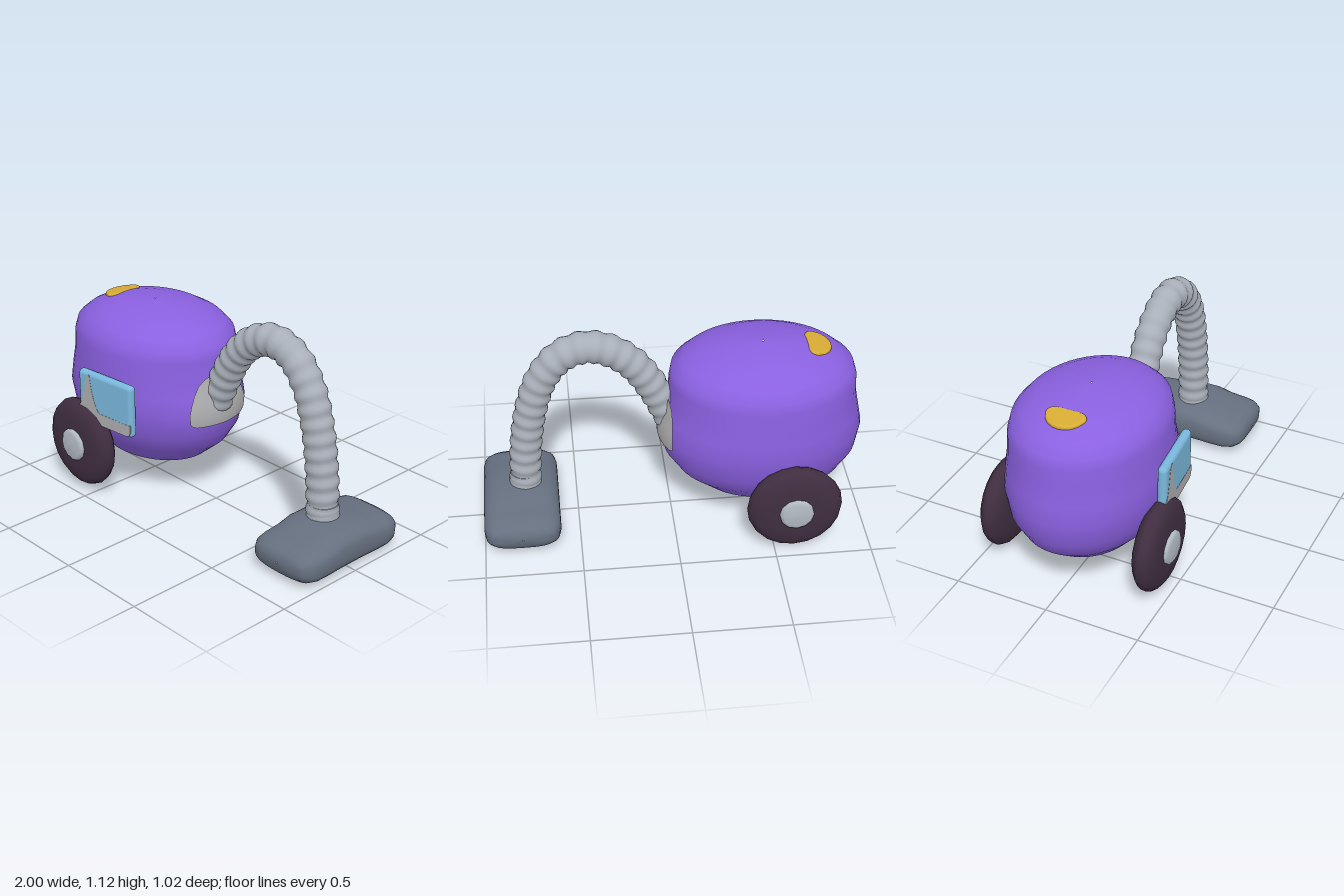
import * as THREE from 'three';
import { RoundedBoxGeometry } from 'three/addons/geometries/RoundedBoxGeometry.js';

const mat = (name, color, extra = {}) => {
  const m = new THREE.MeshStandardMaterial({ color, ...extra });
  m.name = name;
  return m;
};

// Skin a stack of closed rings, each an array of [x, y, z]
function loft(rings) {
  const n = rings[0].length, index = [];
  for (let i = 0; i < rings.length - 1; i++) {
    for (let j = 0; j < n; j++) {
      const a = i * n + j, b = i * n + (j + 1) % n;
      index.push(a, a + n, b, b, a + n, b + n);
    }
  }
  const g = new THREE.BufferGeometry();
  g.setAttribute('position', new THREE.Float32BufferAttribute(rings.flat(2), 3));
  g.setIndex(index);
  g.computeVertexNormals();
  return g;
}

const ring = (n, f) => Array.from({ length: n }, (_, j) => f(j / n * Math.PI * 2));

// Body sections: y, back x, front x, half depth
const BODY = [
  [0.12, -0.45, -0.44, 0.005], [0.13, -0.58, -0.31, 0.12], [0.2, -0.8, -0.15, 0.25],
  [0.3, -0.92, -0.03, 0.335], [0.4, -0.98, 0.035, 0.385], [0.53, -1, 0.066, 0.41],
  [0.63, -0.98, 0.04, 0.403], [0.72, -0.962, 0.015, 0.391], [0.82, -0.958, 0.008, 0.386],
  [0.88, -0.94, -0.002, 0.371], [0.93, -0.88, -0.06, 0.328], [0.97, -0.8, -0.15, 0.258],
  [1.0, -0.68, -0.28, 0.15], [1.015, -0.53, -0.42, 0.04], [1.017, -0.475, -0.465, 0.004],
];

function bodySection(y) {
  let i = 0;
  while (i < BODY.length - 2 && BODY[i + 1][0] < y) i++;
  const k = (y - BODY[i][0]) / (BODY[i + 1][0] - BODY[i][0]);
  return BODY[i].map((v, c) => v + (BODY[i + 1][c] - v) * k);
}

function bodyGeometry() {
  return loft(BODY.map(([y, x0, x1, h]) => ring(48, t =>
    [(x0 + x1) / 2 + (x1 - x0) / 2 * Math.cos(t), y, h * Math.sin(t)])));
}

// Socket plate hugging the front of the body: y and half width
function socketGeometry() {
  const rows = [[0.48, 0.16], [0.495, 0.188], [0.55, 0.195], [0.6, 0.18],
    [0.65, 0.16], [0.7, 0.13], [0.73, 0.095], [0.745, 0.05]];
  const g = new THREE.PlaneGeometry(1, 1, 16, rows.length - 1);
  const p = g.attributes.position;
  for (let r = 0; r < rows.length; r++) {
    for (let c = 0; c <= 16; c++) {
      const [y, w] = rows[rows.length - 1 - r];
      const [, x0, x1, h] = bodySection(y);
      const z = w * (1 - c / 8);
      const x = (x0 + x1) / 2 + (x1 - x0) / 2 * Math.sqrt(1 - (z / h) ** 2);
      p.setXYZ(r * 17 + c, x + 0.014, y, z);
    }
  }
  g.computeVertexNormals();
  return g;
}

// Ribbed hose swept along an arch
function hoseGeometry() {
  const curve = new THREE.CatmullRomCurve3([
    [0, 0.58], [0.045, 0.68], [0.11, 0.81], [0.2, 0.935], [0.31, 1.015], [0.425, 1.043],
    [0.55, 1.0], [0.65, 0.88], [0.715, 0.7], [0.755, 0.47], [0.772, 0.2],
  ].map(([x, y]) => new THREE.Vector3(x, y, 0)));
  const steps = 120, rings = [];
  for (let i = 0; i <= steps; i++) {
    const u = i / steps, p = curve.getPointAt(u), t = curve.getTangentAt(u);
    const r = 0.081 + 0.005 * Math.sin(u * Math.PI * 2 * 22);
    rings.push(ring(20, a => [p.x - t.y * r * Math.cos(a), p.y + t.x * r * Math.cos(a), -r * Math.sin(a)]));
  }
  return loft(rings);
}

// Floor head: soft cross-sections along z (z, half width, bottom, top)
function floorHeadGeometry() {
  const sections = [
    [0.352, 0.005, 0.1, 0.105], [0.35, 0.12, 0.07, 0.135], [0.335, 0.165, 0.04, 0.162],
    [0.3, 0.19, 0.015, 0.184], [0.25, 0.2, 0.003, 0.192], [0.16, 0.2, 0, 0.203], [0.08, 0.2, 0, 0.226],
  ];
  const all = [...sections, ...sections.slice().reverse().map(([z, ...s]) => [-z, ...s])];
  const soft = v => Math.sign(v) * Math.abs(v) ** 0.68;
  return loft(all.map(([z, w, lo, hi]) => ring(32, t =>
    [0.8 + w * soft(Math.cos(t)), (lo + hi) / 2 + (hi - lo) / 2 * soft(Math.sin(t)), z])));
}

// Turned parts with their axis along z
function turned(points, sides) {
  return new THREE.LatheGeometry(points.map(p => new THREE.Vector2(...p)), sides).rotateX(Math.PI / 2);
}

export function createModel() {
  const model = new THREE.Group();
  model.name = 'vacuumCleaner';
  const purple = mat('purple', 0x8a60e0);
  const grey = mat('hose grey', 0xa9afb9);
  const trim = mat('trim grey', 0xaeaeb0, { side: THREE.DoubleSide });
  const slate = mat('slate', 0x667080);
  const dark = mat('tyre dark', 0x402e40);
  const silver = mat('hub silver', 0xb2bac2);
  const blue = mat('window blue', 0x7ab8dc);
  const yellow = mat('button yellow', 0xd8ac34);

  const add = (name, geometry, material, parent = model) => {
    const m = new THREE.Mesh(geometry, material);
    m.name = name;
    parent.add(m);
    return m;
  };

  add('body', bodyGeometry(), purple);
  add('hoseSocket', socketGeometry(), trim);
  add('hose', hoseGeometry(), grey);
  add('hoseCollar', new THREE.CylinderGeometry(0.078, 0.086, 0.08, 20), grey).position.set(0.772, 0.25, 0);
  add('floorHead', floorHeadGeometry(), slate);

  // Wheels with hubs on both sides
  const tyre = turned([[0.001, -0.07], [0.13, -0.068], [0.2, -0.052], [0.235, -0.025], [0.246, 0],
    [0.235, 0.03], [0.2, 0.055], [0.13, 0.066], [0.001, 0.066]], 20);
  const hub = turned([[0.09, 0.05], [0.088, 0.078], [0.07, 0.089], [0.001, 0.092]], 12);
  for (const side of [1, -1]) {
    const wheel = new THREE.Group();
    wheel.name = side > 0 ? 'frontWheel' : 'backWheel';
    wheel.position.set(-0.595, 0.272, 0.42 * side);
    if (side < 0) wheel.rotation.y = Math.PI;
    add('tyre', tyre, dark, wheel);
    add('hub', hub, silver, wheel);
    model.add(wheel);
  }

  // Window plate on the front side with a painted grey trim
  const window = new THREE.Group();
  window.name = 'window';
  window.position.set(-0.393, 0.565, 0.407);
  window.rotation.y = 0.09;
  add('pane', new RoundedBoxGeometry(0.385, 0.29, 0.05, 4, 0.024), blue, window);
  const s = new THREE.Shape();
  s.moveTo(-0.15, -0.138);
  s.lineTo(0.15, -0.138);
  s.quadraticCurveTo(0.185, -0.138, 0.186, -0.1);
  s.lineTo(0.186, -0.072);
  s.lineTo(-0.04, -0.07);
  s.quadraticCurveTo(-0.085, -0.03, -0.105, 0.13);
  s.quadraticCurveTo(-0.13, 0.13, -0.14, 0.08);
  s.quadraticCurveTo(-0.155, -0.01, -0.186, -0.06);
  s.lineTo(-0.186, -0.1);
  s.quadraticCurveTo(-0.185, -0.138, -0.15, -0.138);
  add('windowTrim', new THREE.ExtrudeGeometry(s, { depth: 0.008, bevelEnabled: false }), trim, window)
    .position.z = 0.018;
  model.add(window);

  // Half-round button on top, following the slope of the lid
  const d = new THREE.Shape();
  d.moveTo(0.05, -0.05);
  d.quadraticCurveTo(0.05, -0.095, 0.015, -0.092);
  d.bezierCurveTo(-0.08, -0.07, -0.08, 0.07, 0.015, 0.092);
  d.quadraticCurveTo(0.05, 0.095, 0.05, 0.05);
  const button = add('button', new THREE.ExtrudeGeometry(d, {
    depth: 0.04, bevelSize: 0.012, bevelThickness: 0.012, bevelSegments: 3, curveSegments: 8,
  }).rotateX(-Math.PI / 2), yellow);
  button.position.set(-0.748, 0.938, 0);
  button.rotation.z = 0.16;
  return model;
}
